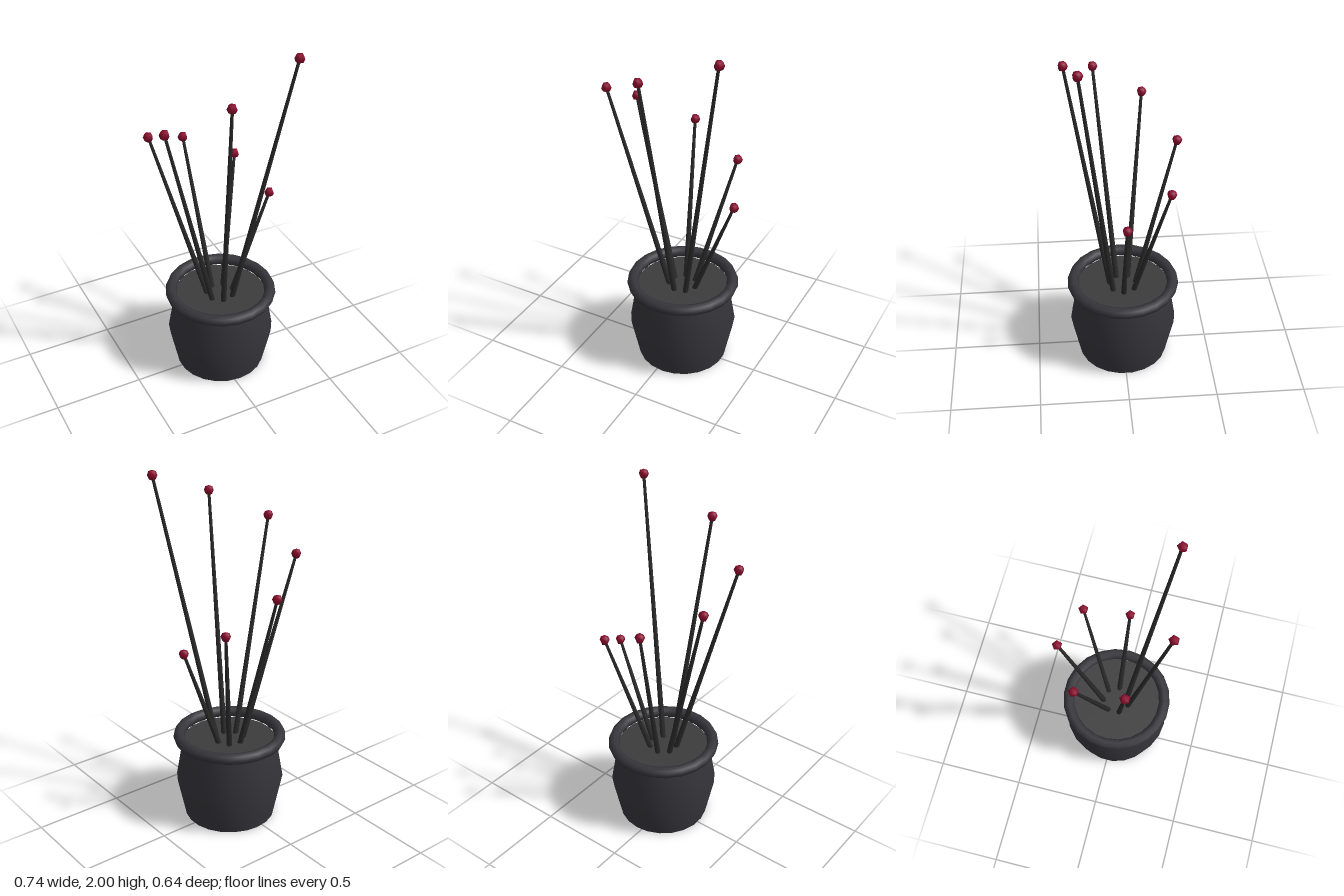
import * as THREE from 'three';

const CX = 0.034;   // pot axis
const SOIL_Y = 0.46;

function mat(color) {
  return new THREE.MeshStandardMaterial({ color });
}

function add(parent, name, geometry, material) {
  const mesh = new THREE.Mesh(geometry, material);
  mesh.name = name;
  parent.add(mesh);
  return mesh;
}

// Tapered stem running between two points
function stemGeometry(from, to) {
  const dir = to.clone().sub(from);
  const g = new THREE.CylinderGeometry(0.008, 0.016, dir.length(), 6);
  g.applyQuaternion(new THREE.Quaternion().setFromUnitVectors(
    new THREE.Vector3(0, 1, 0), dir.clone().normalize()));
  const mid = from.clone().add(to).multiplyScalar(0.5);
  return g.translate(mid.x, mid.y, mid.z);
}

export function createModel() {
  const model = new THREE.Group();
  model.name = 'pottedBerryStems';
  const potMat = mat(0x36353b);
  const soilMat = mat(0x3c3c3c);
  const stemMat = mat(0x2b2a2a);
  const berryMat = mat(0x8a0a2c);

  // Pot: bulging wall, flat base, rolled rim and soil
  const pot = new THREE.Group();
  pot.name = 'pot';
  pot.position.x = CX;
  model.add(pot);
  const profile = [[0.256, 0], [0.304, 0.23], [0.265, 0.46]]
    .map(([r, y]) => new THREE.Vector2(r, y));
  add(pot, 'potWall', new THREE.LatheGeometry(profile, 22), potMat);
  add(pot, 'potBase', new THREE.CircleGeometry(0.256, 22).rotateZ(Math.PI / 2).rotateX(Math.PI / 2), potMat);
  add(pot, 'potRim', new THREE.TorusGeometry(0.286, 0.032, 8, 22).rotateX(Math.PI / 2), potMat)
    .position.y = 0.488;
  add(pot, 'soil', new THREE.CircleGeometry(0.266, 22).rotateZ(Math.PI / 2).rotateX(-Math.PI / 2), soilMat)
    .position.y = SOIL_Y;

  // Stems fan out from a ring in the soil, each ending in a berry
  const tips = [
    [0.338, 0], [0.243, -0.238], [-0.048, -0.296], [-0.321, -0.13],
    [-0.345, 0.134], [-0.06, 0.297], [0.343, 0.235],
  ];
  const berryGeo = new THREE.SphereGeometry(0.028, 5, 4).rotateY(-Math.PI / 2);
  tips.forEach(([x, z], i) => {
    const a = (i / tips.length) * Math.PI * 2;
    const base = new THREE.Vector3(CX + 0.073 * Math.cos(a), SOIL_Y - 0.015, -0.073 * Math.sin(a));
    const tip = new THREE.Vector3(x, 1.063 + i * 0.1515, z);
    const sprig = new THREE.Group();
    sprig.name = 'sprig' + (i + 1);
    add(sprig, 'stem', stemGeometry(base, tip), stemMat);
    add(sprig, 'berry', berryGeo, berryMat).position.copy(tip);
    model.add(sprig);
  });

  return model;
}
